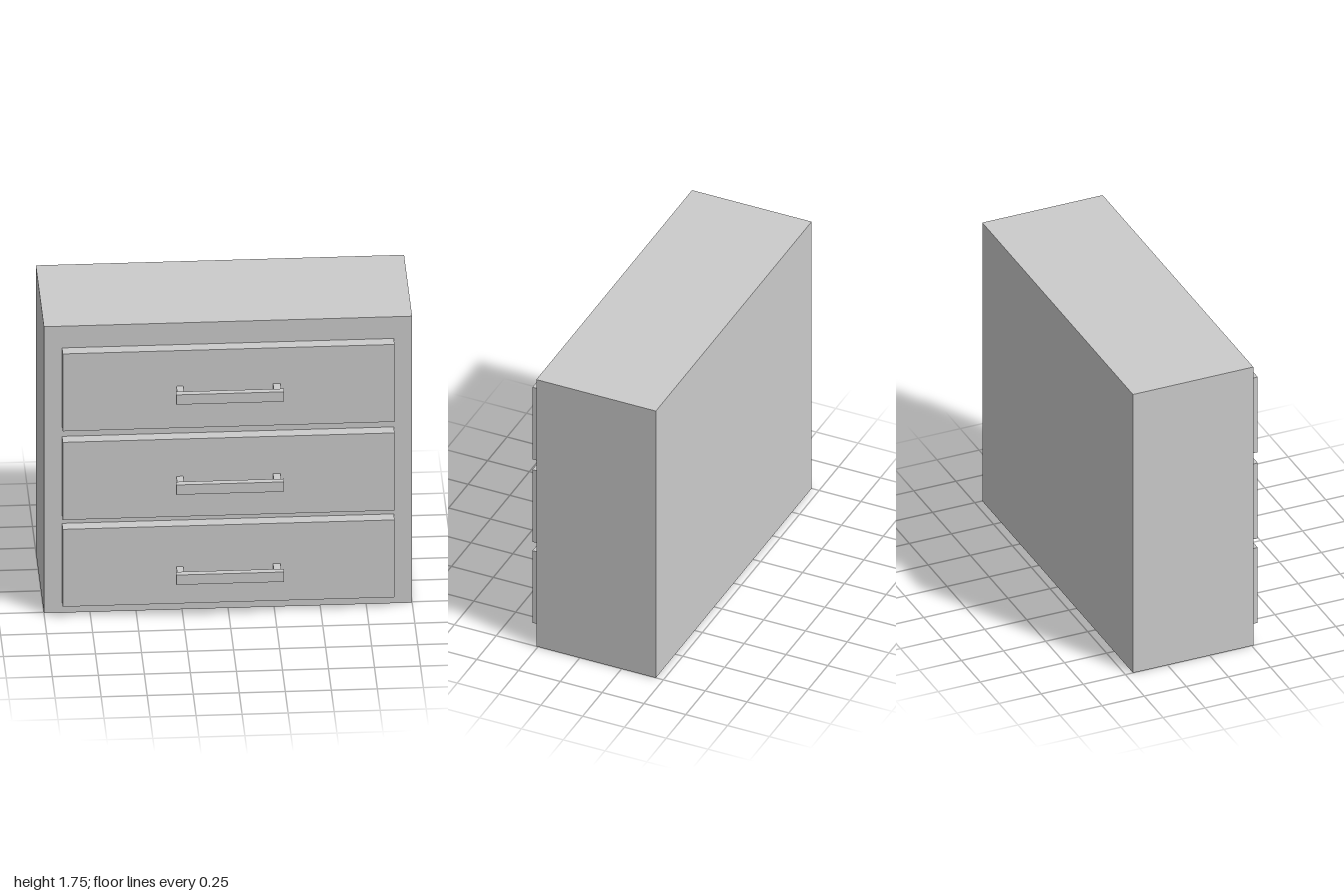
import * as THREE from 'three';

const material = new THREE.MeshStandardMaterial({ color: 0xcccccc, flatShading: true });

// Box given by its extents along each axis
function box(name, [x0, x1], [y0, y1], [z0, z1]) {
  const mesh = new THREE.Mesh(new THREE.BoxGeometry(x1 - x0, y1 - y0, z1 - z0), material);
  mesh.position.set((x0 + x1) / 2, (y0 + y1) / 2, (z0 + z1) / 2);
  mesh.name = name;
  return mesh;
}

// Bar pull on two posts, centred on its own origin in y
function createHandle() {
  const handle = new THREE.Group();
  handle.name = 'handle';
  handle.add(box('handleBar', [-0.293, 0.293], [-0.03, 0.03], [0.418, 0.455]));
  handle.add(box('rightHandlePost', [-0.285, -0.248], [-0.017, 0.017], [0.33, 0.418]));
  handle.add(box('leftHandlePost', [0.24, 0.28], [-0.017, 0.017], [0.33, 0.418]));
  return handle;
}

export function createModel() {
  const model = new THREE.Group();
  model.name = 'chestOfDrawers';

  // Cabinet body
  model.add(box('cabinet', [-1, 1], [0, 1.755], [-0.455, 0.26]));

  // Drawer fronts, bottom to top, each with its handle
  const drawers = [
    { name: 'bottomDrawer', bottom: 0.073, top: 0.547, handleY: 0.283 },
    { name: 'middleDrawer', bottom: 0.605, top: 1.08, handleY: 0.835 },
    { name: 'topDrawer', bottom: 1.148, top: 1.622, handleY: 1.387 },
  ];
  for (const { name, bottom, top, handleY } of drawers) {
    const drawer = new THREE.Group();
    drawer.name = name;
    drawer.add(box('drawerFront', [-0.902, 0.9], [bottom, top], [0.26, 0.33]));
    const handle = createHandle();
    handle.position.y = handleY;
    drawer.add(handle);
    model.add(drawer);
  }
  return model;
}
